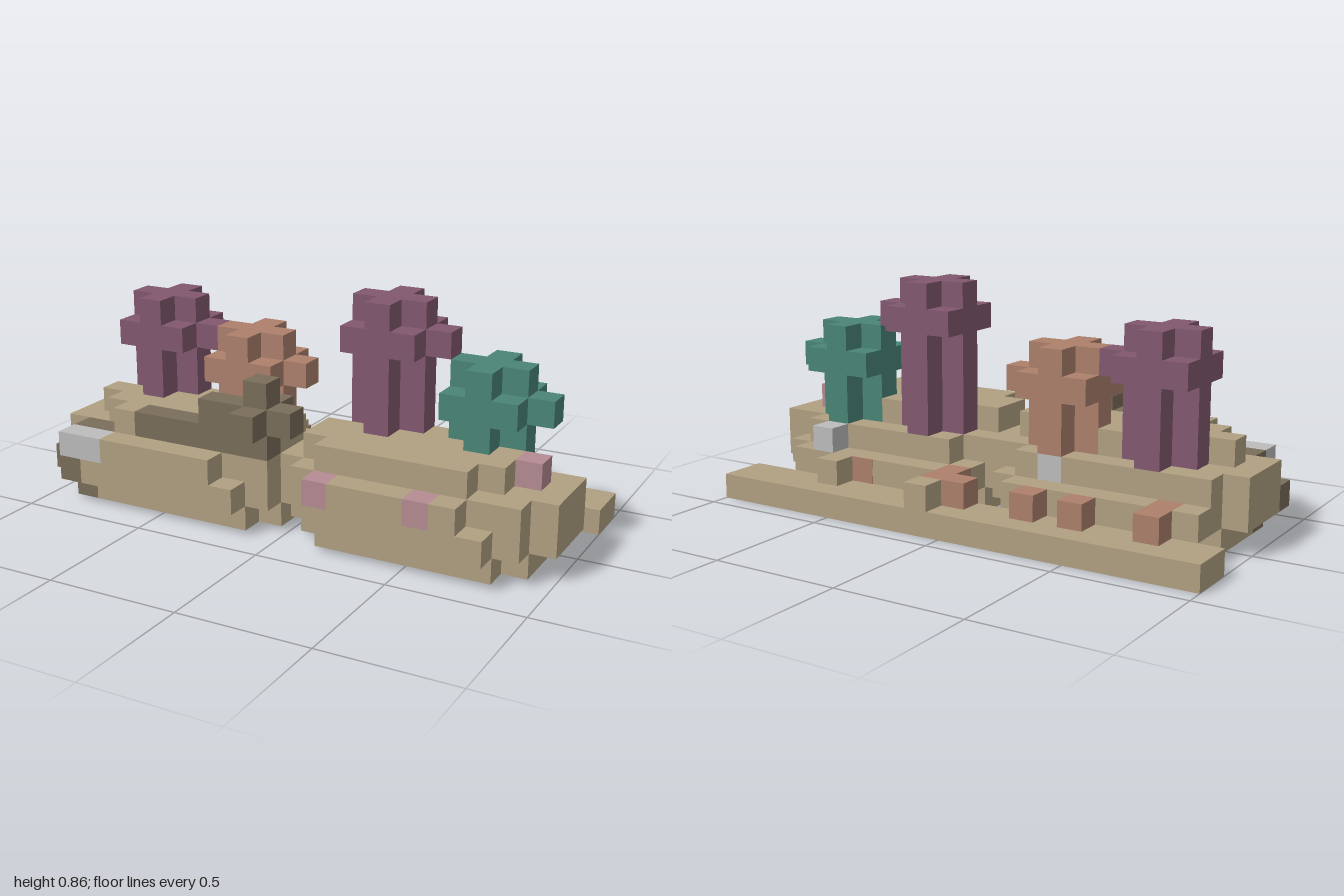
import * as THREE from 'three';
import { mergeGeometries } from 'three/addons/utils/BufferGeometryUtils.js';

const S = 2 / 21; // block size
const NX = 21, NZ = 9;

const mat = (name, color) => {
  const m = new THREE.MeshStandardMaterial({ color });
  m.name = name;
  return m;
};

export function createModel() {
  const sand = mat('sand', 0xb0a082);
  const purple = mat('purple', 0x82586f);
  const teal = mat('teal', 0x4a8576);
  const salmon = mat('salmon', 0xad806c);
  const brown = mat('brown', 0x7a6d5a);
  const silver = mat('silver', 0xbcbcbc);
  const pink = mat('pink', 0xb68b93);

  // block grid: later fills replace earlier ones
  const cells = new Map();
  const parts = new Map();
  const key = (i, j, k) => `${i},${j},${k}`;
  function fill(part, material, i0, i1, j, k0, k1 = k0) {
    parts.set(part, material);
    for (let i = i0; i <= i1; i++)
      for (let k = k0; k <= k1; k++) cells.set(key(i, j, k), { part, i, j, k });
  }
  const put = (part, material, list) =>
    list.forEach(([i, j, k]) => fill(part, material, i, i, j, k));

  // two rock islands, given as [level, first row, last row, first column, last column]
  const leftRock = [
    [0, 3, 3, 2, 8], [0, 4, 6, 1, 9], [0, 7, 7, 2, 8],
    [1, 2, 2, 1, 8], [1, 3, 3, 1, 9], [1, 4, 6, 0, 9], [1, 7, 7, 1, 9], [1, 8, 8, 1, 8],
    [2, 3, 3, 1, 8], [2, 4, 6, 0, 9], [2, 7, 7, 1, 9], [2, 8, 8, 1, 7],
    [3, 4, 4, 2, 8], [3, 5, 5, 1, 9], [3, 6, 6, 2, 9], [3, 7, 7, 3, 8],
  ];
  const rightRock = [
    [0, 3, 3, 12, 18], [0, 4, 6, 11, 19], [0, 7, 7, 12, 18],
    [1, 2, 2, 12, 18], [1, 3, 3, 11, 19], [1, 4, 6, 11, 20], [1, 7, 7, 11, 19], [1, 8, 8, 12, 18],
    [2, 3, 3, 12, 18], [2, 4, 6, 11, 20], [2, 7, 7, 11, 19], [2, 8, 8, 12, 17],
    [3, 4, 4, 12, 17], [3, 5, 6, 11, 18], [3, 7, 7, 12, 17],
  ];
  for (const [j, k0, k1, i0, i1] of leftRock) fill('rightIsland', sand, i0, i1, j, k0, k1);
  for (const [j, k0, k1, i0, i1] of rightRock) fill('leftIsland', sand, i0, i1, j, k0, k1);
  for (const j of [1, 2]) fill('neck', sand, 10, 10, j, 4, 6);

  // rear ledge with small stones and corals on it
  fill('rearLedge', sand, 0, 20, 0, 0, 1);
  put('ledgeStone', sand, [[11, 1, 0], [16, 1, 1]]);
  put('ledgeCoral', salmon, [[2, 1, 1], [2, 1, 2], [5, 1, 1], [7, 1, 1], [10, 1, 1], [11, 1, 1], [11, 1, 2]]);

  // coral trees: plus-shaped trunk, one full ring and a side bud
  function tree(name, material, c, top) {
    for (let j = 3; j <= top; j++) {
      fill(name, material, c - 1, c + 1, j, 4);
      fill(name, material, c, c, j, 3, 5);
    }
    fill(name, material, c - 1, c + 1, top - 1, 3, 5);
    fill(name, material, c + 2, c + 2, top - 1, 4);
  }
  tree('shortPurpleCoral', purple, 3, 7);
  tree('salmonCoral', salmon, 7, 6);
  tree('tallPurpleCoral', purple, 13, 8);
  tree('tealCoral', teal, 17, 6);

  // driftwood on the front edge
  fill('driftwood', brown, 4, 9, 3, 7);
  fill('driftwood', brown, 7, 10, 4, 7);
  put('driftwood', brown, [[9, 4, 6], [9, 4, 8], [9, 5, 7]]);
  // root clump low on the front corner
  put('rootClump', brown, [[0, 1, 7], [1, 1, 7], [2, 1, 7], [1, 0, 7], [1, 1, 8], [1, 2, 7], [2, 2, 7]]);

  // coloured blocks set in the rock
  put('silverBlock', silver, [[1, 2, 8], [2, 2, 8], [7, 2, 3], [17, 2, 2]]);
  put('pinkBlock', pink, [[12, 2, 8], [16, 2, 8], [19, 3, 5]]);

  // only the exposed faces of each block are built
  const dirs = [[1, 0, 0], [-1, 0, 0], [0, 1, 0], [0, -1, 0], [0, 0, 1], [0, 0, -1]];
  const faces = dirs.map((d) => {
    const g = new THREE.PlaneGeometry(S, S);
    const n = new THREE.Vector3(...d);
    g.applyQuaternion(new THREE.Quaternion().setFromUnitVectors(
      new THREE.Vector3(0, 0, 1), n.z === -1 ? new THREE.Vector3(0, 0, 1) : n));
    if (n.z === -1) g.rotateY(Math.PI);
    return g.translate(d[0] * S / 2, d[1] * S / 2, d[2] * S / 2);
  });
  const center = (i, j, k) => [(i + 0.5 - NX / 2) * S, (j + 0.5) * S, (k + 0.5 - NZ / 2) * S];
  const built = new Map([...parts.keys()].map((p) => [p, []]));
  for (const { part, i, j, k } of cells.values()) {
    dirs.forEach(([x, y, z], f) => {
      if (!cells.has(key(i + x, j + y, k + z)))
        built.get(part).push(faces[f].clone().translate(...center(i, j, k)));
    });
  }

  const group = new THREE.Group();
  group.name = 'coralReef';
  for (const [part, list] of built) {
    if (!list.length) continue;
    const mesh = new THREE.Mesh(mergeGeometries(list), parts.get(part));
    mesh.name = part;
    group.add(mesh);
  }

  // salmon patch on the rear rock face
  const patch = new THREE.Mesh(new THREE.BoxGeometry(S, S, 0.004), salmon);
  const [px, py, pz] = center(15, 1, 2);
  patch.position.set(px, py, pz - S / 2);
  patch.name = 'rearPatch';
  group.add(patch);
  return group;
}
